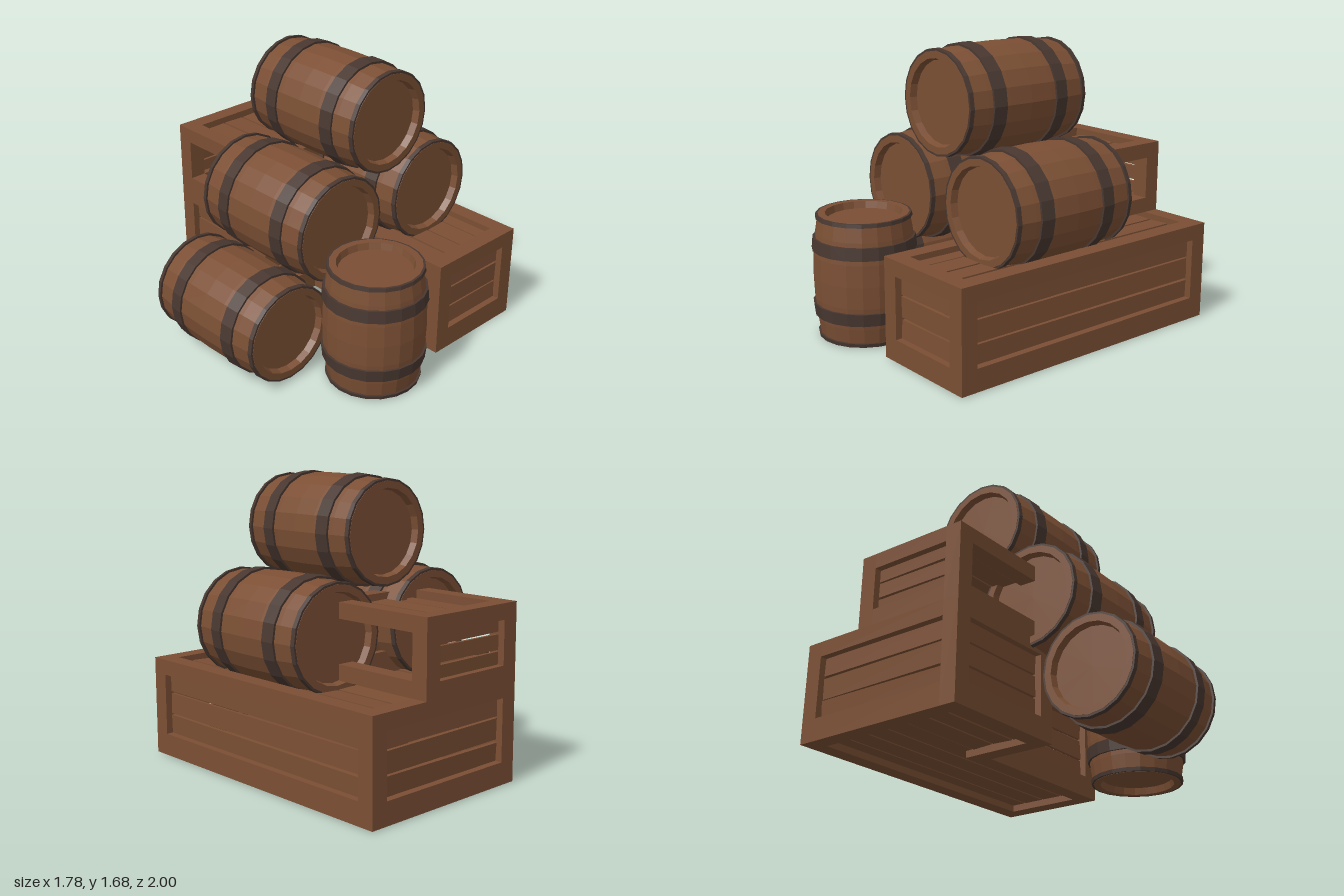
import * as THREE from 'three';

const wood = new THREE.MeshStandardMaterial({ name: 'wood', color: 0x7b4f34, flatShading: true });
const iron = new THREE.MeshStandardMaterial({ name: 'darkIron', color: 0x483730, flatShading: true });

// small seeded generator for hand-made irregularity
let seed = 7;
const rand = () => (seed = (seed * 16807) % 2147483647) / 2147483647;
const jitter = (a) => (rand() - 0.5) * 2 * a;

function lathe(name, points, material) {
  const geo = new THREE.LatheGeometry(points.map(([r, y]) => new THREE.Vector2(r, y)), 20);
  const mesh = new THREE.Mesh(geo, material);
  mesh.name = name;
  return mesh;
}

// barrel along local y, centred on its middle
function barrel(name, R, endR, h) {
  const g = new THREE.Group();
  g.name = name;
  const radius = (y) => R - 0.012 - (R - 0.012 - endR) * (y / h) ** 2;
  const inner = endR - 0.04;
  const depth = 0.04;
  const staves = [-1, -0.7, -0.35, 0, 0.35, 0.7, 1].map((t) => [radius(t * h), t * h]);
  g.add(lathe('barrelBody', [
    [0, -h + depth], [inner - 0.01, -h + depth], [inner, -h],
    ...staves,
    [inner, h], [inner - 0.01, h - depth], [0, h - depth],
  ], wood));
  // two wide hoops, and a thin one at each end
  for (const [t, half] of [[-0.53, 0.1], [0.53, 0.1], [-0.965, 0.03], [0.965, 0.03]]) {
    const a = (t - half) * h, b = (t + half) * h;
    g.add(lathe('hoop', [
      [radius(a) - 0.02, a], [radius(a) + 0.012, a],
      [radius(b) + 0.012, b], [radius(b) - 0.02, b],
    ], iron));
  }
  return g;
}

function box(name, x0, x1, y0, y1, z0, z1) {
  const mesh = new THREE.Mesh(new THREE.BoxGeometry(x1 - x0, y1 - y0, z1 - z0), wood);
  mesh.position.set((x0 + x1) / 2, (y0 + y1) / 2, (z0 + z1) / 2);
  mesh.name = name;
  return mesh;
}

const B = 0.05; // half width of a frame bar

// upright boarding between two frame posts
function wallBoards(g, [ax, az], [bx, bz], y0, y1, count) {
  const step = (y1 - y0) / count;
  for (let i = 0; i < count; i++) {
    const mesh = new THREE.Mesh(
      new THREE.BoxGeometry(Math.hypot(bx - ax, bz - az), step - 0.012, 0.02), wood);
    mesh.name = 'wallBoard';
    mesh.position.set((ax + bx) / 2, y0 + step * (i + 0.5), (az + bz) / 2);
    mesh.rotation.order = 'YXZ';
    mesh.rotation.set(jitter(0.06), Math.atan2(az - bz, bx - ax), jitter(0.008));
    g.add(mesh);
  }
}

// flat boarding for lids and floors
function flatBoards(g, name, x0, x1, z0, z1, y, count) {
  const step = (x1 - x0) / count;
  for (let i = 0; i < count; i++) {
    const x = x0 + step * i;
    const mesh = box(name, x + 0.006, x + step - 0.006, y - 0.01, y + 0.01, z0, z1);
    mesh.rotation.z = jitter(0.05);
    g.add(mesh);
  }
}

// crate frame over a footprint of post centres; openEdges have no boards
function crate(name, posts, y0, y1, bottomRail, openEdges) {
  const g = new THREE.Group();
  g.name = name;
  posts.forEach((a, i) => {
    const b = posts[(i + 1) % posts.length];
    g.add(box('cornerPost', a[0] - B, a[0] + B, y0, y1, a[1] - B, a[1] + B));
    const x0 = Math.min(a[0], b[0]), x1 = Math.max(a[0], b[0]);
    const z0 = Math.min(a[1], b[1]), z1 = Math.max(a[1], b[1]);
    const alongX = x1 - x0 > z1 - z0;
    const ex = alongX ? -B : B, ez = alongX ? B : -B;
    g.add(box('bottomRail', x0 - ex, x1 + ex, y0, y0 + bottomRail, z0 - ez, z1 + ez));
    g.add(box('topRail', x0 - ex, x1 + ex, y1 - 0.09, y1, z0 - ez, z1 + ez));
    if (!openEdges.includes(i)) wallBoards(g, a, b, y0 + bottomRail - 0.02, y1 - 0.07, 3);
  });
  return g;
}

export function createModel() {
  const model = new THREE.Group();
  model.name = 'barrelAndCratePile';

  // barrels lying along z
  for (const [name, x, y, R] of [
    ['topBarrel', 0.18, 1.37, 0.325],
    ['middleRightBarrel', -0.185, 0.83, 0.34],
    ['middleLeftBarrel', 0.555, 0.83, 0.335],
    ['groundBarrel', -0.575, 0.318, 0.318],
  ]) {
    const b = barrel(name, R, R - 0.04, 0.42);
    b.rotation.x = Math.PI / 2;
    b.position.set(x, y, 0.02);
    model.add(b);
  }

  // standing barrel in front
  const standing = barrel('standingBarrel', 0.307, 0.26, 0.36);
  standing.position.set(-0.175, 0.37, 0.695);
  model.add(standing);

  // L-shaped lower crate
  const lower = crate('lowerCrate', [
    [-0.15, -0.95], [0.84, -0.95], [0.84, 0.78], [0.27, 0.78], [0.27, -0.25], [-0.15, -0.25],
  ], 0.01, 0.59, 0.13, []);
  flatBoards(lower, 'lidBoard', 0.27, 0.84, -0.95, 0.78, 0.545, 4);
  flatBoards(lower, 'lidBoard', -0.15, 0.27, -0.95, -0.25, 0.545, 3);
  flatBoards(lower, 'floorBoard', 0.27, 0.84, -0.95, 0.78, 0.06, 4);
  flatBoards(lower, 'floorBoard', -0.15, 0.27, -0.95, -0.25, 0.06, 3);
  model.add(lower);

  // smaller upper crate with open sides
  const upper = crate('upperCrate', [
    [-0.15, -0.95], [0.46, -0.95], [0.46, -0.25], [-0.15, -0.25],
  ], 0.59, 1.02, 0.09, [1, 3]);
  flatBoards(upper, 'lidBoard', -0.07, 0.38, -0.95, -0.25, 0.97, 3);
  model.add(upper);

  return model;
}
